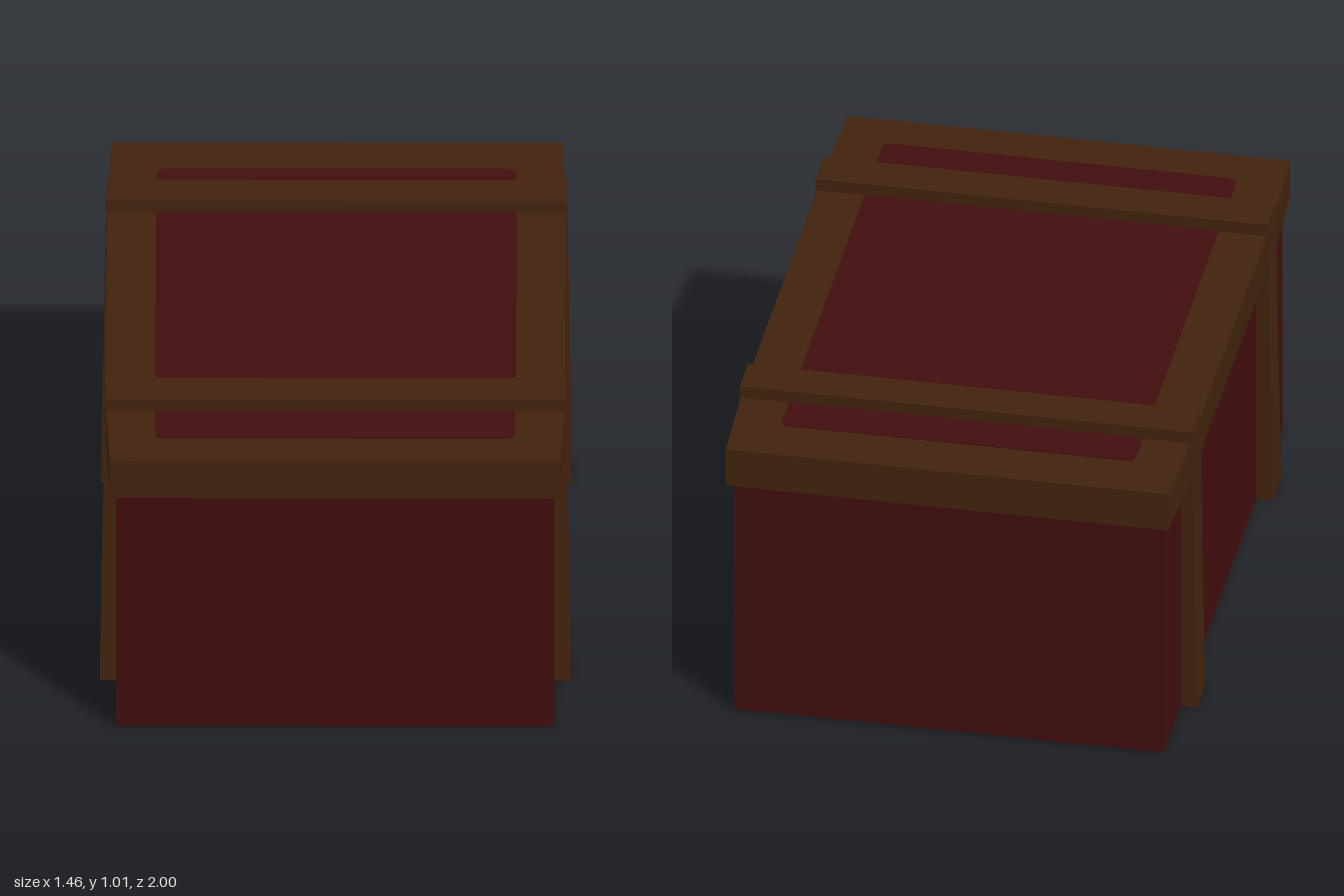
import * as THREE from 'three';

const red = new THREE.MeshStandardMaterial({ color: 0x420d0e });
red.name = 'dark red';
const brown = new THREE.MeshStandardMaterial({ color: 0x42230e });
brown.name = 'dark brown';

function add(group, name, geometry, material, x = 0, y = 0, z = 0) {
  const mesh = new THREE.Mesh(geometry, material);
  mesh.name = name;
  mesh.position.set(x, y, z);
  group.add(mesh);
  return mesh;
}

// Extrudes an outline given as [x, y] corners
function extrude(points, depth) {
  const shape = new THREE.Shape(points.map(([x, y]) => new THREE.Vector2(x, y)));
  return new THREE.ExtrudeGeometry(shape, { depth, bevelEnabled: false });
}

// Rounded rectangle lying flat, rising from y = 0
function roundedPlate(x0, x1, z0, z1, r, height) {
  const s = new THREE.Shape();
  s.moveTo(x0 + r, -z1);
  s.lineTo(x1 - r, -z1);
  s.quadraticCurveTo(x1, -z1, x1, -z1 + r);
  s.lineTo(x1, -z0 - r);
  s.quadraticCurveTo(x1, -z0, x1 - r, -z0);
  s.lineTo(x0 + r, -z0);
  s.quadraticCurveTo(x0, -z0, x0, -z0 - r);
  s.lineTo(x0, -z1 + r);
  s.quadraticCurveTo(x0, -z1, x0 + r, -z1);
  const g = new THREE.ExtrudeGeometry(s, { depth: height, bevelEnabled: false, curveSegments: 4 });
  return g.rotateX(-Math.PI / 2);
}

export function createModel() {
  const chest = new THREE.Group();
  chest.name = 'chest';

  // Box body
  add(chest, 'body', new THREE.BoxGeometry(1.36, 0.836, 1.95), red, 0, 0.422, 0);

  // Overhanging lid, slightly wider between the straps
  const lid = extrude([
    [-0.7, -1], [0.7, -1], [0.712, -0.69], [0.712, 0.69],
    [0.7, 1], [-0.7, 1], [-0.712, 0.69], [-0.712, -0.69],
  ], 0.132).rotateX(-Math.PI / 2);
  add(chest, 'lid', lid, brown, 0, 0.833, 0);

  // Inset panels on the lid, separated by the straps
  for (const [z0, z1] of [[-0.83, -0.66], [-0.6, 0.58], [0.65, 0.86]]) {
    add(chest, 'lidPanel', roundedPlate(-0.56, 0.56, z0, z1, 0.03, 0.004), red, 0, 0.964, 0);
  }

  // Straps wrapped around the chest, tapering towards the top
  for (const [name, z] of [['frontStrap', 0.55], ['backStrap', -0.692]]) {
    const strap = extrude([[-0.732, 0], [0.732, 0], [0.715, 1.006], [-0.715, 1.006]], 0.134);
    add(chest, name, strap, brown, 0, 0, z);
  }

  return chest;
}
